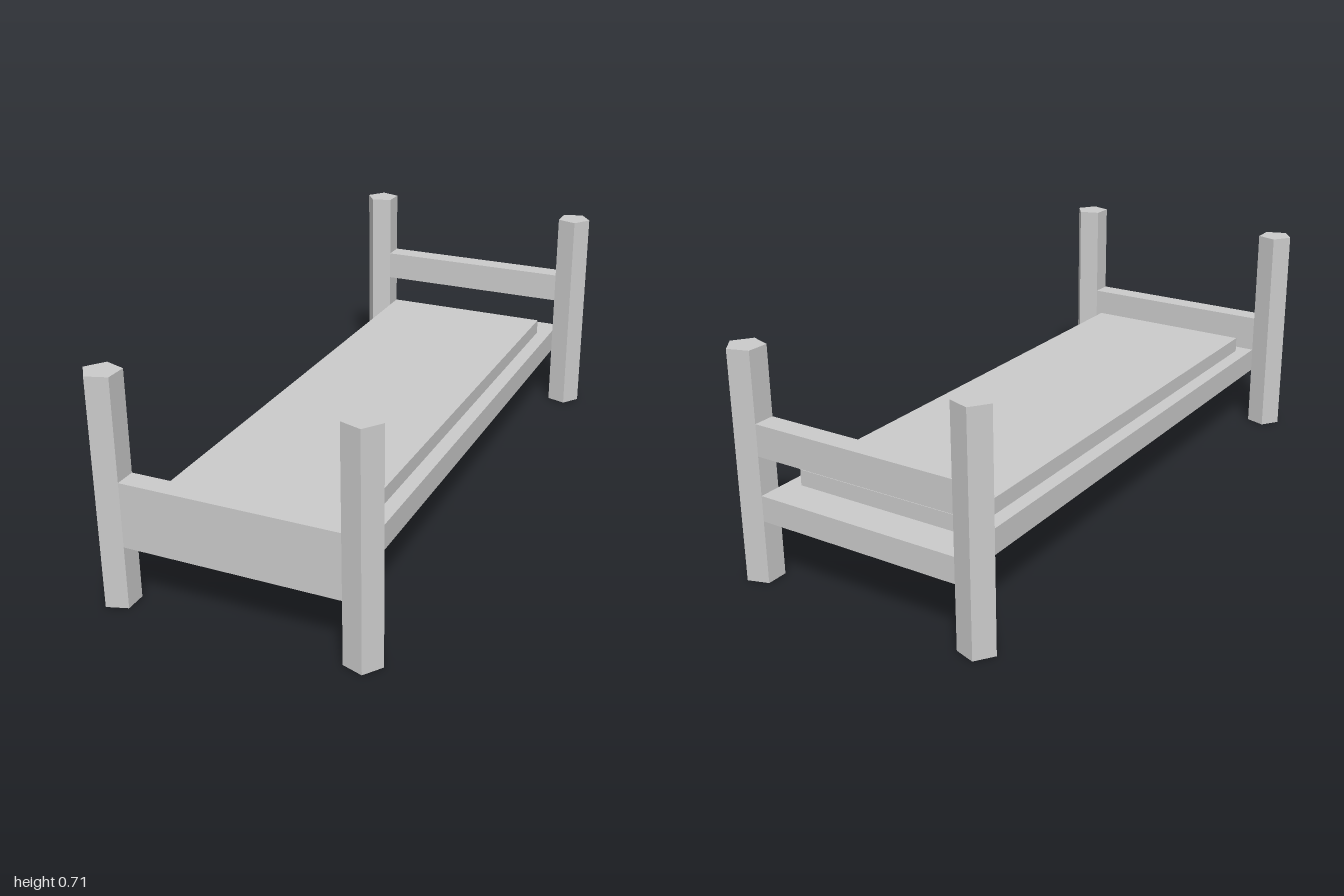
import * as THREE from 'three';

const POST_H = 0.715, POST_R = 0.058, POST_X = 0.382, POST_Z = 0.945;
const HALF_W = POST_X - POST_R * Math.cos(Math.PI / 5); // inner flat of the posts
const HALF_T = POST_R * Math.sin(Math.PI / 5);          // half board thickness

export function createModel() {
  const bed = new THREE.Group();
  bed.name = 'bed';
  const material = new THREE.MeshStandardMaterial({ color: 0xcccccc, flatShading: true });

  // Box given by half width, y range and z range
  const addBox = (name, halfW, y0, y1, z0, z1) => {
    const mesh = new THREE.Mesh(new THREE.BoxGeometry(halfW * 2, y1 - y0, z1 - z0), material);
    mesh.position.set(0, (y0 + y1) / 2, (z0 + z1) / 2);
    mesh.name = name;
    bed.add(mesh);
  };

  // Five-sided corner posts, point facing outwards
  for (const [side, sx] of [['left', 1], ['right', -1]]) {
    for (const [end, sz] of [['Front', 1], ['Back', -1]]) {
      const post = new THREE.Mesh(
        new THREE.CylinderGeometry(POST_R, POST_R, POST_H, 5, 1, false, sx * Math.PI / 2), material);
      post.position.set(sx * POST_X, POST_H / 2, sz * POST_Z);
      post.name = `${side}${end}Post`;
      bed.add(post);
    }
  }

  // Bed base, end boards and mattress
  addBox('bedBase', HALF_W, 0.2, 0.28, -POST_Z - HALF_T, POST_Z - HALF_T);
  addBox('footboard', HALF_W, 0.2, 0.402, POST_Z - HALF_T, POST_Z + HALF_T);
  addBox('headRail', HALF_W, 0.402, 0.5, -POST_Z - HALF_T, -POST_Z + HALF_T);
  addBox('mattress', 0.288, 0.28, 0.33, -0.866, 0.866);

  return bed;
}
